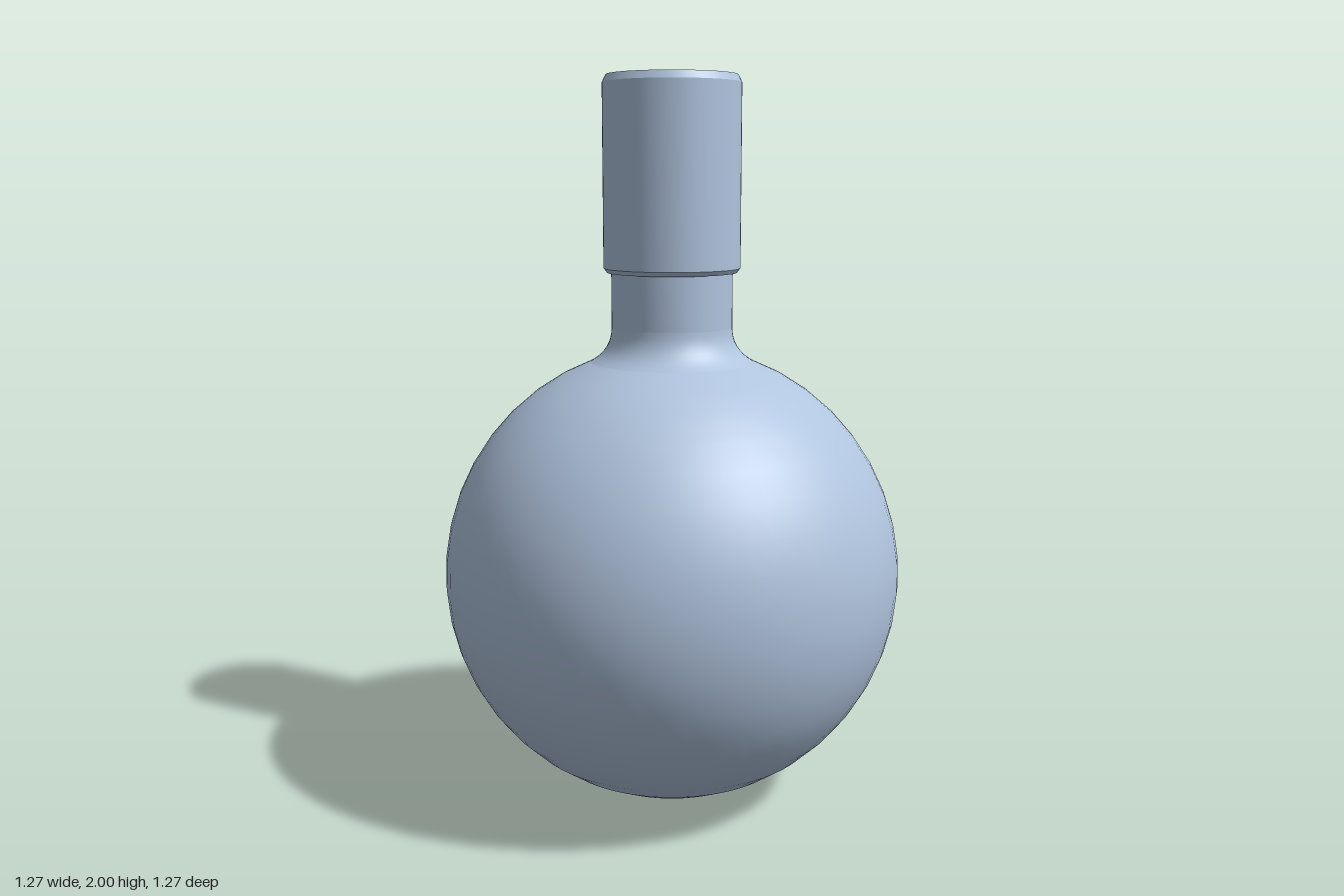
import * as THREE from 'three';
import { toCreasedNormals } from 'three/addons/utils/BufferGeometryUtils.js';

const SEGMENTS = 64;
const CENTRE_Y = 0.637;

const glass = new THREE.MeshStandardMaterial({ color: 0xb0c4de });
glass.name = 'pale blue glass';
const violet = new THREE.MeshStandardMaterial({ color: 0x8686d0 });
violet.name = 'violet liquid';

// Profile points on a sphere, from angle a to b measured up from the bottom pole
function arc(radius, a, b, steps) {
  const points = [];
  for (let i = 0; i <= steps; i++) {
    const t = a + ((b - a) * i) / steps;
    points.push(new THREE.Vector2(Math.max(0, radius * Math.sin(t)), CENTRE_Y - radius * Math.cos(t)));
  }
  return points;
}

// Concave fillet between bulb and neck
function fillet(r0, y0, r1, y1) {
  return new THREE.QuadraticBezierCurve(
    new THREE.Vector2(r0, y0),
    new THREE.Vector2(r1, y0 + (y1 - y0) * 0.35),
    new THREE.Vector2(r1, y1)
  ).getPoints(8);
}

function lathe(name, points, material) {
  const profile = points.map((p) => (Array.isArray(p) ? new THREE.Vector2(...p) : p));
  const mesh = new THREE.Mesh(toCreasedNormals(new THREE.LatheGeometry(profile, SEGMENTS), 0.45), material);
  mesh.name = name;
  return mesh;
}

export function createModel() {
  const flask = new THREE.Group();
  flask.name = 'roundBottomFlask';

  const outerR = 0.637, innerR = 0.622;
  const outerEnd = Math.PI - Math.asin(0.225 / outerR);
  const innerEnd = Math.PI - Math.asin(0.205 / innerR);
  const outerArc = arc(outerR, 0, outerEnd, 20);
  const innerArc = arc(innerR, 0, innerEnd, 20);
  const outerTop = outerArc[20].y, innerTop = innerArc[20].y;

  // Outer glass, from the bottom pole upwards
  flask.add(lathe('bulb', outerArc, glass));
  flask.add(lathe('shoulder', fillet(0.225, outerTop, 0.166, 1.33), glass));
  flask.add(lathe('neck', [[0.166, 1.33], [0.166, 1.485]], glass));

  // Thick joint sleeve with bevelled ends and a flat rim
  flask.add(lathe('jointSleeve', [
    [0.166, 1.478], [0.178, 1.478], [0.187, 1.49],
    [0.187, 1.98], [0.177, 2], [0.155, 2],
  ], glass));

  // Inner walls, running downwards so that they face inwards
  flask.add(lathe('innerNeck', [
    [0.155, 2], [0.151, 1.478], ...fillet(0.205, innerTop, 0.151, 1.33).reverse(),
  ], glass));
  flask.add(lathe('innerBulb', innerArc.slice().reverse(), glass));

  // Liquid filling the lower half of the bulb
  const liquidArc = arc(0.617, 0, Math.PI / 2, 12);
  flask.add(lathe('liquid', [...liquidArc, [0, CENTRE_Y]], violet));

  return flask;
}
